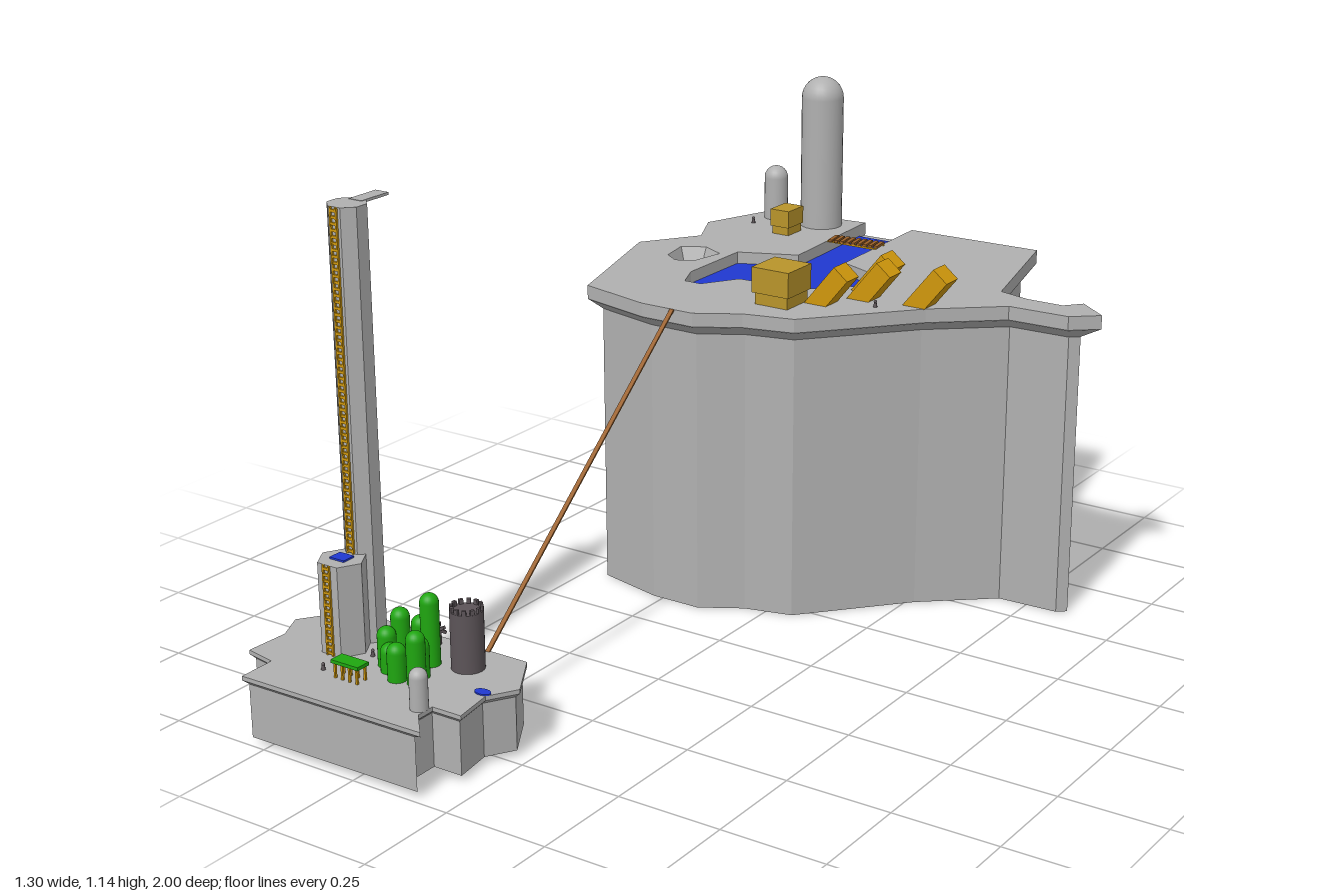
import * as THREE from 'three';

const mat = (name, color) => {
  const m = new THREE.MeshStandardMaterial({ color });
  m.name = name;
  return m;
};

export function createModel() {
  const root = new THREE.Group();
  root.name = 'twoIslands';
  const stone = mat('stone grey', 0xb0b0b0);
  const stoneOpen = mat('stone grey inner', 0xb0b0b0);
  stoneOpen.side = THREE.DoubleSide;
  const water = mat('water blue', 0x2038d0);
  const gold = mat('gold', 0xd0980c);
  const ochre = mat('ochre', 0xb8942a);
  const green = mat('plant green', 0x1fa610);
  const dark = mat('dark grey', 0x5c5458);
  const wood = mat('wood brown', 0x9a6028);

  const add = (name, geo, m, x = 0, y = 0, z = 0, parent = root) => {
    const mesh = new THREE.Mesh(geo, m);
    mesh.name = name;
    mesh.position.set(x, y, z);
    parent.add(mesh);
    return mesh;
  };
  const box = (name, m, w, h, d, x, y, z, parent) =>
    add(name, new THREE.BoxGeometry(w, h, d), m, x, y, z, parent);

  // Outlines are [x, z] points, clockwise seen from above
  const toShape = (pts, holes = []) => {
    const s = new THREE.Shape(pts.map(([x, z]) => new THREE.Vector2(x, -z)));
    holes.forEach(h => s.holes.push(new THREE.Path(h.map(([x, z]) => new THREE.Vector2(x, -z)))));
    return s;
  };
  const slab = (pts, h, holes) =>
    new THREE.ExtrudeGeometry(toShape(pts, holes), { depth: h, bevelEnabled: false }).rotateX(-Math.PI / 2);
  const inset = (pts, d) => pts.map((p, i) => {
    const n = (a, b) => {
      const l = Math.hypot(b[0] - a[0], b[1] - a[1]);
      return [-(b[1] - a[1]) / l, (b[0] - a[0]) / l];
    };
    const a = n(pts[(i + pts.length - 1) % pts.length], p);
    const b = n(p, pts[(i + 1) % pts.length]);
    const k = d / (1 + a[0] * b[0] + a[1] * b[1]);
    return [p[0] + (a[0] + b[0]) * k, p[1] + (a[1] + b[1]) * k];
  });
  // Walls through a stack of [outline, height] rings
  const walls = rings => {
    const v = [];
    for (let r = 0; r + 1 < rings.length; r++) {
      const [lo, y0] = rings[r], [hi, y1] = rings[r + 1];
      lo.forEach((p, i) => {
        const j = (i + 1) % lo.length;
        const A = [p[0], y0, p[1]], B = [lo[j][0], y0, lo[j][1]];
        const C = [hi[j][0], y1, hi[j][1]], D = [hi[i][0], y1, hi[i][1]];
        v.push(...A, ...C, ...B, ...A, ...D, ...C);
      });
    }
    const g = new THREE.BufferGeometry();
    g.setAttribute('position', new THREE.Float32BufferAttribute(v, 3));
    g.computeVertexNormals();
    return g;
  };
  const underside = pts => new THREE.ShapeGeometry(
    new THREE.Shape(pts.map(([x, z]) => new THREE.Vector2(x, z)))).rotateX(Math.PI / 2);

  // Large island
  const outline = [[-.47, -.96], [-.205, -.985], [-.07, -.99], [.28, -1], [.37, -.64], [.45, -.62],
    [.54, -.62], [.575, -.66], [.65, -.6], [.59, -.55], [.44, -.545], [.29, -.42], [.08, -.185],
    [-.04, -.155], [-.14, -.095], [-.28, -.095], [-.47, -.14], [-.585, -.515], [-.49, -.65], [-.545, -.765]];
  const shore = [[-.205, -.955], [-.19, -.635], [-.33, -.575], [-.33, -.37], [-.3, -.3], [-.255, -.3],
    [-.2, -.385], [-.03, -.395], [.11, -.53], [.11, -.57], [-.06, -.64], [-.07, -.955]];
  const pit = [[-.475, -.54], [-.42, -.57], [-.36, -.54], [-.377, -.46], [-.42, -.433], [-.46, -.46]];
  const notched = [...outline.slice(0, 2), ...shore, ...outline.slice(2)];
  const base = inset(outline, .032);
  add('largeIslandCliff', walls([[base, 0], [base, .69], [outline, .717]]), stone);
  add('largeIslandUnderside', underside(base), stone);
  add('largeIslandTop', slab(notched, .033, [pit]), stone, 0, .717);
  add('riverBed', new THREE.ShapeGeometry(toShape(outline, [pit])).rotateX(-Math.PI / 2), stone, 0, .716);
  add('lakeAndRiver', slab(shore, .004), water, 0, .717);
  const pitFloor = pit.map(([x, z]) => [-.42 + (x + .42) * .35, -.505 + (z + .505) * .35]);
  add('craterWall', walls([[pitFloor, .66], [pit, .75]]), stoneOpen);
  add('craterFloor', slab(pitFloor, .004), stone, 0, .656);

  // Round-topped columns
  const dome = (name, m, r, h, x, y, z) => {
    const pts = [new THREE.Vector2(r, 0)];
    for (let i = 0; i <= 8; i++) {
      const a = i / 8 * Math.PI / 2;
      pts.push(new THREE.Vector2(Math.max(0, r * Math.cos(a)), h - r + r * Math.sin(a)));
    }
    add(name, new THREE.LatheGeometry(pts, 24), m, x, y, z);
  };
  dome('tallDome', stone, .053, .385, -.293, .75, -.91);
  dome('smallDome', stone, .03, .137, -.427, .75, -.905);
  dome('shoreDome', stone, .02, .092, -.138, .16, .91);

  // Houses with an overhanging upper storey
  const house = (x, z, w, d, h, k) => {
    box('houseBase', ochre, w * .88, h * k, d * .88, x, .75 + h * k / 2, z);
    box('houseTop', ochre, w, h * (1 - k), d, x, .75 + h * (k + 1) / 2, z);
  };
  house(-.015, -.28, .1, .1, .09, .32);
  house(-.328, -.8, .054, .07, .064, .32);

  // Leaning blocks
  [[.345, -.443], [.185, -.48], [.21, -.418], [.146, -.333]].forEach(([x, z]) => {
    const b = box('leaningBlock', gold, .046, .13, .053, x - .059, .783, z);
    b.rotation.z = -.68;
  });

  // Plank bridge over the river
  for (let i = 0; i < 9; i++) {
    const p = box('bridgePlank', wood, .01, .006, .048, -.188 + i * .0155, .754, -.8 - i * .0015);
    p.rotation.y = .15;
  }
  [-.785, -.825].forEach(z => box('bridgeRail', gold, .14, .004, .005, -.126, .75, z));

  // Rope walkway between the islands
  const from = new THREE.Vector3(-.194, .75, -.093), to = new THREE.Vector3(-.194, .157, .617);
  const rope = box('ropeWalkway', wood, .011, .004, from.distanceTo(to), 0, 0, 0);
  rope.position.copy(from).lerp(to, .5);
  rope.lookAt(to);

  // Small island
  const isle = [[-.575, .61], [-.09, .61], [-.02, .725], [-.06, .79], [-.045, .89], [-.12, .89],
    [-.12, .935], [-.065, .995], [-.55, 1], [-.55, .91], [-.628, .895], [-.622, .79], [-.655, .72]];
  const isleBase = inset(isle, .01);
  add('smallIslandCliff', walls([[isleBase, .015], [isleBase, .14], [isle, .15]]), stone);
  add('smallIslandUnderside', underside(isleBase), stone, 0, .015);
  add('smallIslandTop', slab(isle, .01), stone, 0, .15);
  const pond = add('pond', new THREE.CylinderGeometry(.02, .02, .004, 20), water, -.075, .161, .78);
  pond.scale.z = .65;

  // Watchtower with lower annex, lookout plank and ladders
  add('tower', new THREE.CylinderGeometry(.044, .044, .98, 8).rotateY(Math.PI / 8).toNonIndexed(),
    stone, -.463, .65, .695).geometry.computeVertexNormals();
  add('towerAnnex', new THREE.CylinderGeometry(.055, .055, .21, 6).rotateY(Math.PI / 6).toNonIndexed(),
    stone, -.462, .265, .768).geometry.computeVertexNormals();
  box('annexPool', water, .04, .004, .034, -.462, .372, .768);
  box('lookoutPlank', stone, .035, .006, .085, -.462, 1.138, .628);
  const ladder = (y0, y1, z) => {
    const g = new THREE.Group();
    g.name = 'ladder';
    root.add(g);
    [-1, 1].forEach(s => box('ladderRail', gold, .004, y1 - y0, .005, -.463 + s * .008, (y0 + y1) / 2, z, g));
    for (let y = y0 + .006; y < y1; y += .014) box('ladderRung', gold, .016, .006, .004, -.463, y, z, g);
  };
  ladder(.16, 1.14, .738);
  ladder(.16, .37, .818);

  // Rounded plants: x, z, top height
  [[-.307, .7, .25], [-.255, .73, .325], [-.325, .745, .28], [-.33, .785, .25], [-.305, .805, .225],
    [-.265, .83, .245], [-.235, .79, .25], [-.22, .82, .28]].forEach(([x, z, top]) =>
    dome('plant', green, .021, top - .16, x, .16, z));

  // Dark turret with a toothed rim
  add('turret', new THREE.CylinderGeometry(.037, .037, .135, 24), dark, -.178, .2275, .7);
  for (let i = 0; i < 12; i++) {
    const a = i / 12 * Math.PI * 2;
    const t = box('turretTooth', dark, .009, .012, .007, -.178 + Math.sin(a) * .033, .3, .7 + Math.cos(a) * .033);
    t.rotation.y = a;
  }

  // Table
  box('tableTop', green, .075, .008, .036, -.35, .198, .882);
  for (const x of [-.38, -.36, -.34, -.32]) for (const z of [.869, .895])
    box('tableLeg', gold, .005, .036, .005, x, .177, z);

  // Branching stump near the back edge
  box('stumpTrunk', dark, .01, .04, .01, -.305, .18, .645);
  for (let i = 0; i < 3; i++) {
    const b = box('stumpBranch', dark, .04, .007, .007, -.305, .195, .645);
    b.rotation.set(0, i * 2.1, .5);
  }

  // Tiny figures
  [[-.385, .16, .77], [-.428, .16, .88], [-.27, .16, .77], [-.445, .75, -.825], [.185, .75, -.37]].forEach(([x, y, z]) => {
    add('figureBody', new THREE.CylinderGeometry(.003, .005, .011, 8), dark, x, y + .0055, z);
    add('figureHead', new THREE.SphereGeometry(.004, 8, 6), dark, x, y + .013, z);
  });
  return root;
}
